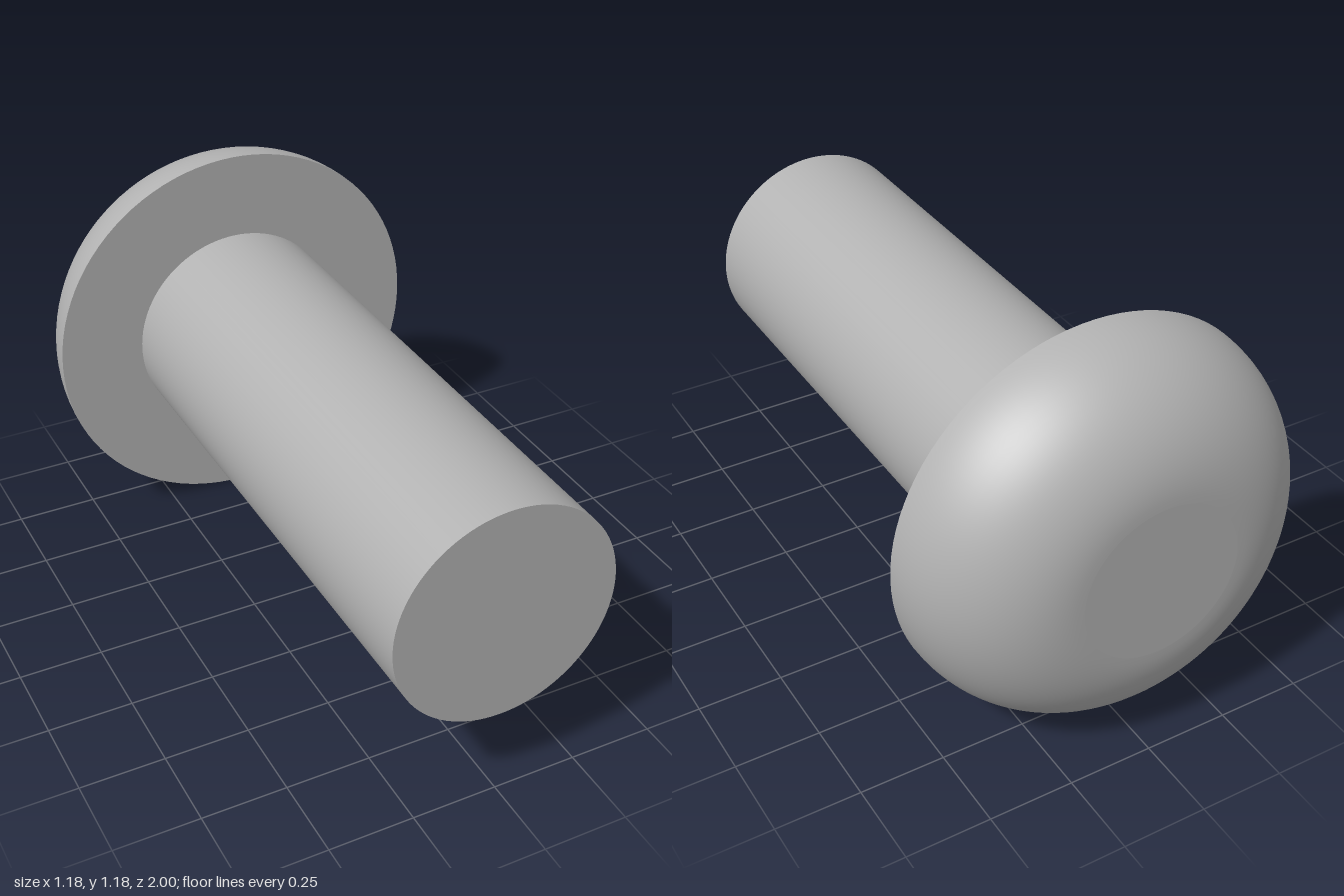
import * as THREE from 'three';

const CENTER_Y = 0.59;     // height of the shared axis
const HEAD_R = 0.59;
const SHAFT_R = 0.327;
const SEAT_Z = -0.645;     // plane where the head meets the shaft
const SEGMENTS = 96;

export function createModel() {
  const metal = new THREE.MeshStandardMaterial({ color: 0xb2b2b2 });
  metal.name = 'grey metal';

  const model = new THREE.Group();
  model.name = 'rivet';
  const add = (name, geometry, z) => {
    const mesh = new THREE.Mesh(geometry, metal);
    mesh.name = name;
    mesh.position.set(0, CENTER_Y, z);
    model.add(mesh);
  };

  // Shaft: plain cylinder along z, ending at the front
  const length = 1 - SEAT_Z;
  const shaft = new THREE.CylinderGeometry(SHAFT_R, SHAFT_R, length, SEGMENTS);
  shaft.rotateX(Math.PI / 2);
  add('shaft', shaft, SEAT_Z + length / 2);

  // Head: quarter-round edge running smoothly into a flat back
  const round = 1 + SEAT_Z;
  const profile = [];
  for (let i = 0; i <= 24; i++) {
    const a = (i / 24) * Math.PI / 2;
    profile.push(new THREE.Vector2(HEAD_R - round + round * Math.cos(a), round * Math.sin(a)));
  }
  const dome = new THREE.LatheGeometry(profile, SEGMENTS);
  dome.rotateX(-Math.PI / 2);
  add('headDome', dome, SEAT_Z);

  // Flat disc closing the back of the head
  const back = new THREE.CircleGeometry(HEAD_R - round, SEGMENTS);
  back.rotateX(Math.PI);
  back.rotateZ(Math.PI / 2);
  add('headBack', back, -1);

  // Flat underside of the head around the shaft
  const seat = new THREE.RingGeometry(SHAFT_R, HEAD_R, SEGMENTS);
  seat.rotateZ(Math.PI / 2);
  add('headUnderside', seat, SEAT_Z);

  return model;
}
